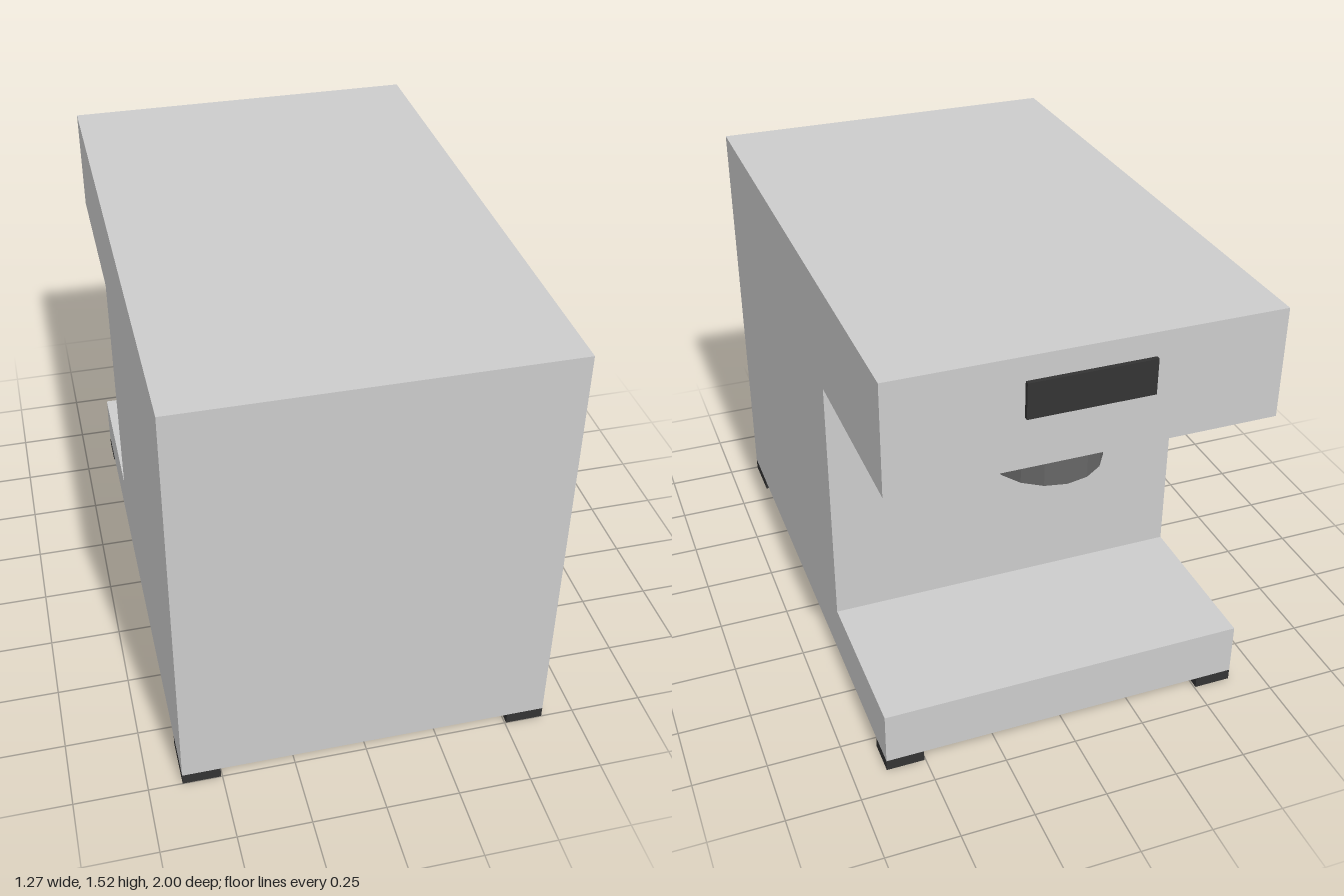
import * as THREE from 'three';

const grey = new THREE.MeshStandardMaterial({ color: 0xcccccc, flatShading: true });
const black = new THREE.MeshStandardMaterial({ color: 0x333333, flatShading: true });
const dark = new THREE.MeshStandardMaterial({ color: 0x666666, flatShading: true });

const HALF_WIDTH = 0.635;

function add(parent, name, geometry, material, x = 0, y = 0, z = 0) {
  const mesh = new THREE.Mesh(geometry, material);
  mesh.name = name;
  mesh.position.set(x, y, z);
  parent.add(mesh);
  return mesh;
}

export function createModel() {
  const model = new THREE.Group();
  model.name = 'dispenser';

  // C-shaped housing: side profile as (-z, y), extruded across the width
  const profile = [
    [-1, 0.04], [0.905, 0.04], [0.905, 0.23], [0.34, 0.23],
    [0.34, 1.145], [0.985, 1.145], [0.985, 1.52], [-1, 1.52],
  ].map(([x, y]) => new THREE.Vector2(x, y));
  const housing = new THREE.ExtrudeGeometry(new THREE.Shape(profile), {
    depth: 2 * HALF_WIDTH, bevelEnabled: false,
  });
  housing.translate(0, 0, -HALF_WIDTH).rotateY(Math.PI / 2);
  add(model, 'housing', housing, grey);

  // Four feet flush with the corners, the front pair longer
  const feet = [['front', 0.9125, 0.175], ['back', -0.8475, 0.115]];
  for (const [end, z, length] of feet) {
    for (const side of [-1, 1]) {
      add(model, end + (side > 0 ? 'LeftFoot' : 'RightFoot'),
        new THREE.BoxGeometry(0.13, 0.04, length), black,
        side * (HALF_WIDTH - 0.065), 0.02, z);
    }
  }

  // Stepped nozzle hanging under the overhang
  const nozzle = new THREE.LatheGeometry([
    [0, 0.875], [0.068, 0.875], [0.068, 0.9], [0.185, 0.955],
    [0.19, 0.955], [0.19, 1.06], [0.21, 1.06], [0.21, 1.145], [0, 1.145],
  ].map(([r, y]) => new THREE.Vector2(r, y)), 16);
  add(model, 'nozzle', nozzle, dark, 0, 0, -0.66);

  // Blank label plate on the overhang's face
  add(model, 'labelPlate', new THREE.BoxGeometry(0.41, 0.12, 0.015), black, 0, 1.38, -0.9925);

  return model;
}
